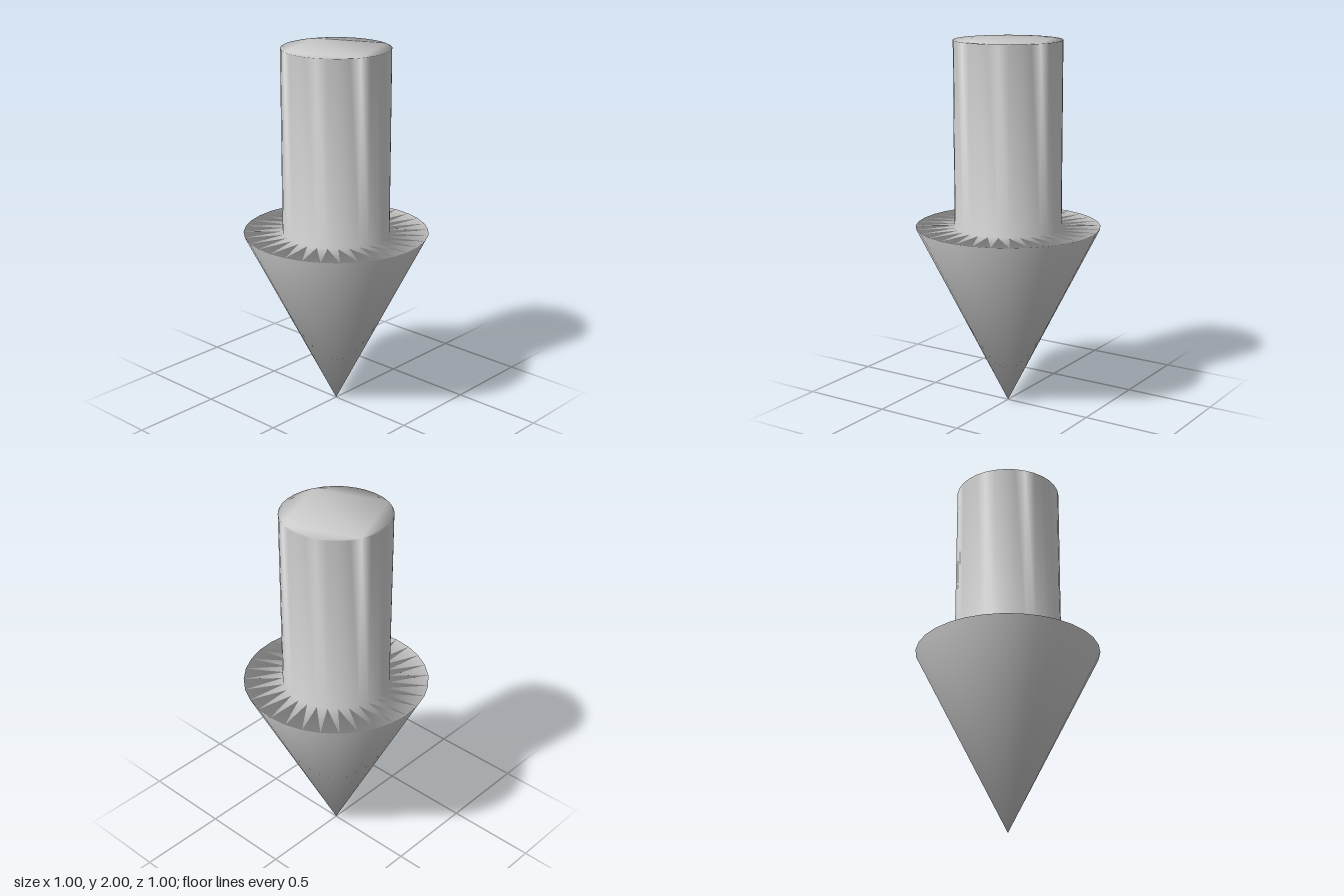
import * as THREE from 'three';
import { mergeGeometries, mergeVertices } from 'three/addons/utils/BufferGeometryUtils.js';

const SIDES = 32;
const HEAD_RADIUS = 0.5;
const SHAFT_RADIUS = 0.29;

// Point of the arrow, shoulder and shaft as one turned profile
function turnedBody() {
  const profile = [[0, 0], [HEAD_RADIUS, 1], [SHAFT_RADIUS, 1], [SHAFT_RADIUS, 2]];
  return new THREE.LatheGeometry(profile.map(([r, y]) => new THREE.Vector2(r, y)), SIDES);
}

// Flat disc closing the top of the shaft, sharing the rim's corners
function shaftCap() {
  const rim = [];
  for (let i = 0; i < SIDES; i++) {
    const a = (i / SIDES) * Math.PI * 2;
    rim.push(new THREE.Vector2(Math.cos(a) * SHAFT_RADIUS, Math.sin(a) * SHAFT_RADIUS));
  }
  return new THREE.ShapeGeometry(new THREE.Shape(rim)).rotateX(-Math.PI / 2).translate(0, 2, 0);
}

export function createModel() {
  // Weld everything so the shading runs smoothly over the whole skin
  const joined = mergeGeometries([turnedBody(), shaftCap()]);
  joined.deleteAttribute('normal');
  joined.deleteAttribute('uv');
  const skin = mergeVertices(joined, 1e-4);
  skin.computeVertexNormals();

  const arrow = new THREE.Mesh(skin, new THREE.MeshStandardMaterial({ color: 0xcccccc }));
  arrow.name = 'downArrow';

  const model = new THREE.Group();
  model.name = 'arrowMarker';
  model.add(arrow);
  return model;
}
